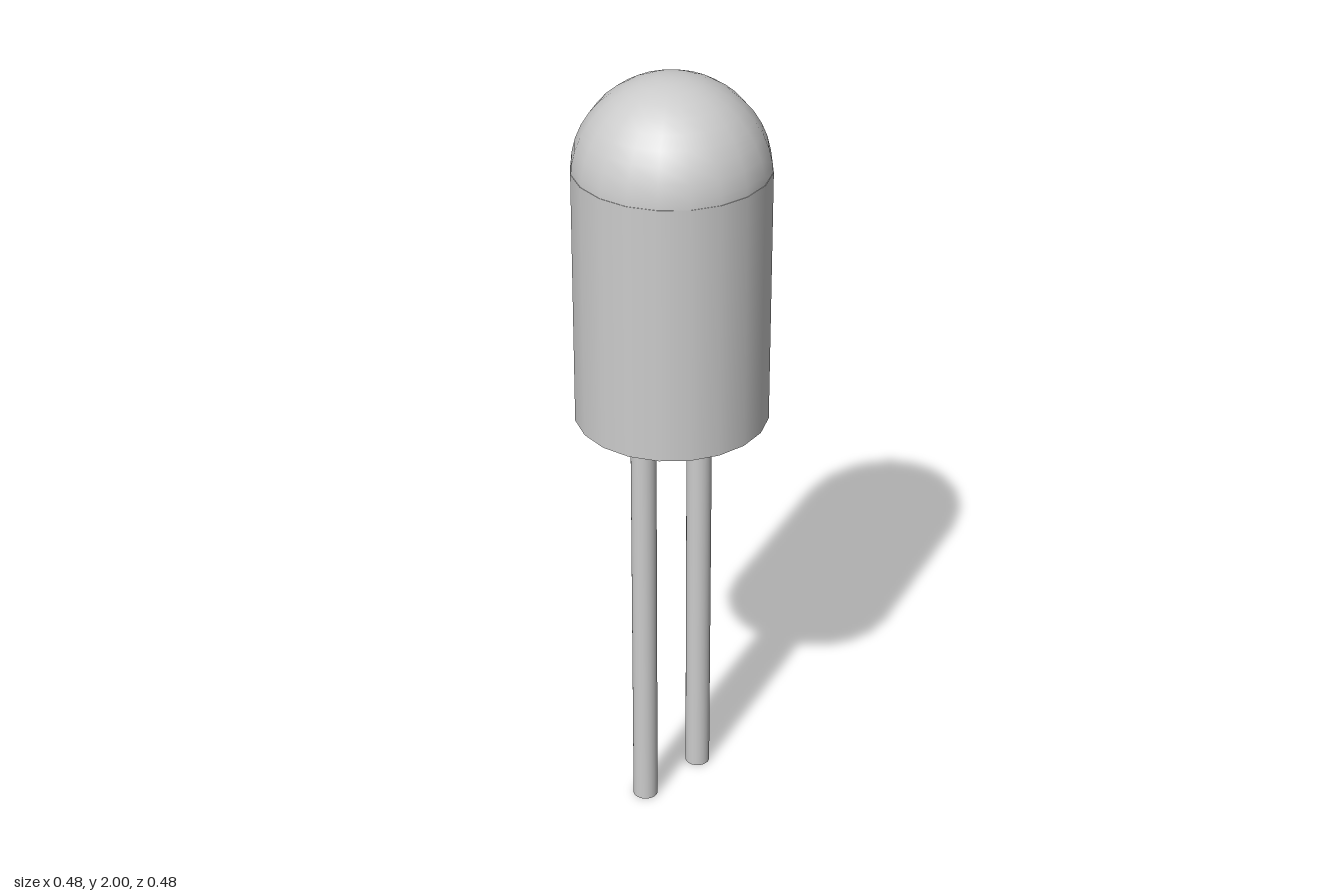
import * as THREE from 'three';

const SIDES = 20;
const RADIUS = 0.24;
const BODY_BOTTOM = 1.115;
const BODY_TOP = 1.775;
const DOME_CENTRE = 1.76;

export function createModel() {
  const group = new THREE.Group();
  const material = new THREE.MeshStandardMaterial({ color: 0xcccccc });

  const add = (name, geometry, x, y, z) => {
    const mesh = new THREE.Mesh(geometry, material);
    mesh.name = name;
    mesh.position.set(x, y, z);
    group.add(mesh);
  };

  // Cylindrical bulb body with a flat base
  const bodyHeight = BODY_TOP - BODY_BOTTOM;
  add('body', new THREE.CylinderGeometry(RADIUS, RADIUS, bodyHeight, SIDES), 0, BODY_BOTTOM + bodyHeight / 2, 0);

  // Hemispherical lens on top
  add('dome', new THREE.SphereGeometry(RADIUS, SIDES, 10, 0, Math.PI * 2, 0, Math.PI / 2), 0, DOME_CENTRE, 0);

  // Two wire legs, one in front of the other
  const legGeometry = new THREE.CylinderGeometry(0.032, 0.032, BODY_BOTTOM, SIDES);
  for (const [name, z] of [['frontLeg', 0.1], ['backLeg', -0.1]]) {
    add(name, legGeometry, 0, BODY_BOTTOM / 2, z);
  }

  return group;
}
